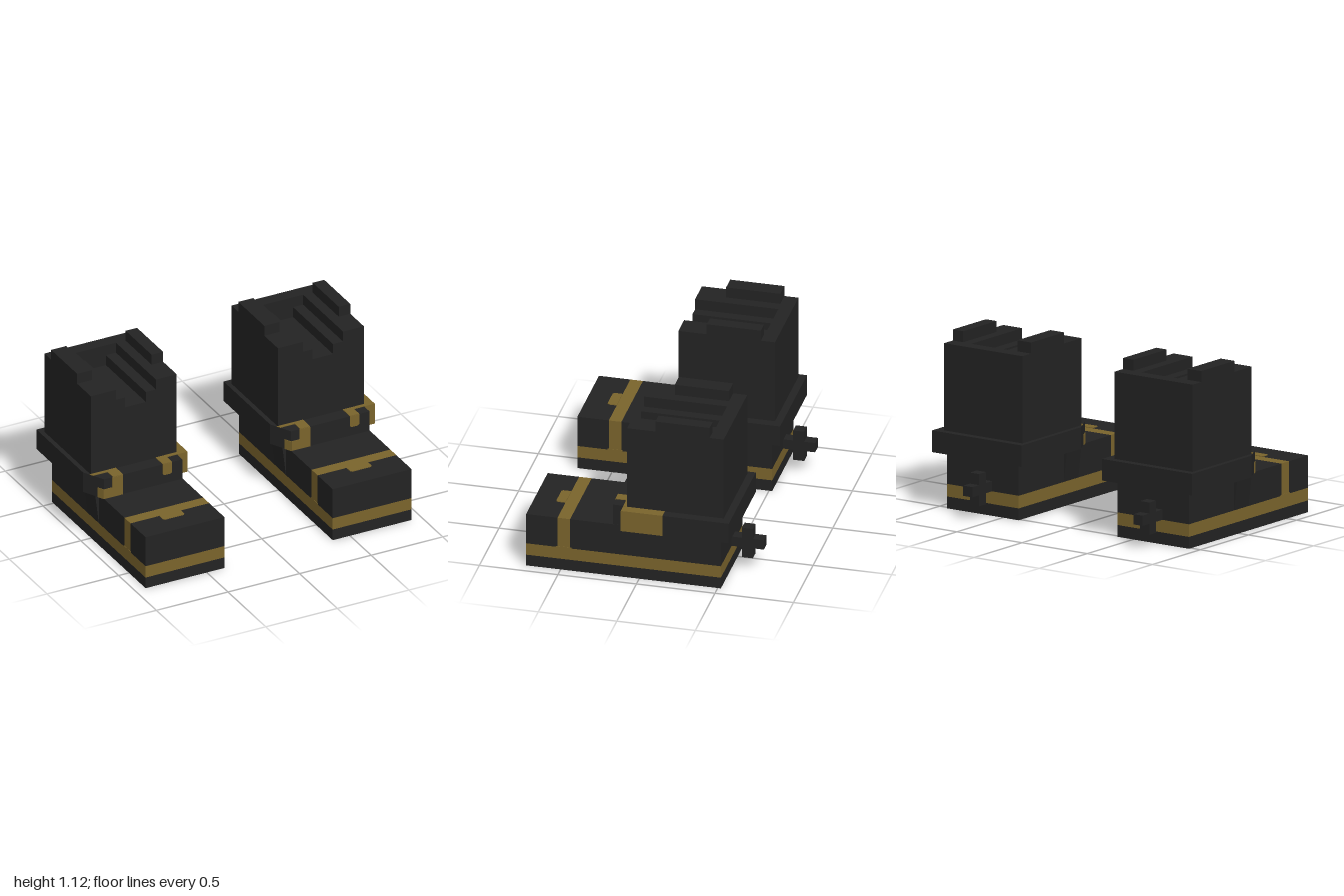
import * as THREE from 'three';

const dark = new THREE.MeshStandardMaterial({ color: 0x232323 });
dark.name = 'charcoal';
const gold = new THREE.MeshStandardMaterial({ color: 0x7a642c });
gold.name = 'old gold';

// Box given by its limits on each axis
function box(name, mat, [x0, x1], [y0, y1], [z0, z1]) {
  const m = new THREE.Mesh(new THREE.BoxGeometry(x1 - x0, y1 - y0, z1 - z0), mat);
  m.position.set((x0 + x1) / 2, (y0 + y1) / 2, (z0 + z1) / 2);
  m.name = name;
  return m;
}

// Upright prism from a plan outline of [x, z] points, with an optional hole
function plan(name, mat, pts, y0, y1, hole) {
  const v = list => list.map(([x, z]) => new THREE.Vector2(x, -z));
  const shape = new THREE.Shape(v(pts));
  if (hole) shape.holes.push(new THREE.Path(v(hole)));
  const g = new THREE.ExtrudeGeometry(shape, { depth: y1 - y0, bevelEnabled: false });
  g.rotateX(-Math.PI / 2).translate(0, y0, 0);
  const m = new THREE.Mesh(g, mat);
  m.name = name;
  return m;
}

// Prism from a front outline of [x, y] points
function profile(name, mat, pts, z0, z1) {
  const shape = new THREE.Shape(pts.map(p => new THREE.Vector2(...p)));
  const g = new THREE.ExtrudeGeometry(shape, { depth: z1 - z0, bevelEnabled: false });
  g.translate(0, 0, z0);
  const m = new THREE.Mesh(g, mat);
  m.name = name;
  return m;
}

const rect = (x0, x1, z0, z1) => [[x0, z0], [x1, z0], [x1, z1], [x0, z1]];

function createBoot() {
  const boot = new THREE.Group();
  const w = [-0.275, 0.275];
  const T = 0.004; // thickness of the inlay plates

  // Sole with a shallow recess underneath, and the welt band above it
  boot.add(plan('sole', dark, rect(-0.275, 0.275, -0.52, 0.72), 0, 0.04, rect(-0.16, 0.16, -0.3, 0.32)));
  boot.add(box('soleCore', dark, w, [0.04, 0.075], [-0.52, 0.72]));
  boot.add(box('weltBand', gold, w, [0.075, 0.155], [-0.52, 0.72]));

  // Foot: toe, strap and heel
  const footY = [0.155, 0.36];
  boot.add(box('toe', dark, w, footY, [0.52, 0.72]));
  boot.add(box('strap', gold, w, footY, [0.44, 0.52]));
  boot.add(box('heel', dark, w, footY, [-0.52, 0.44]));
  boot.add(plan('strapTab', gold,
    [[-0.075, 0.52], [0.075, 0.52], [0.075, 0.57], [0.065, 0.58], [-0.065, 0.58], [-0.075, 0.57]], 0.36, 0.36 + T));
  // Small gold fillets where the strap meets the welt
  for (const s of [-1, 1]) {
    const x = [s * 0.275, s * (0.275 + 0.002)].sort((a, b) => a - b);
    boot.add(box('strapFoot', gold, x, [0.155, 0.162], [0.432, 0.528]));
  }
  boot.add(profile('sideFlare', dark, [[-0.275, 0.155], [-0.275, 0.36], [-0.3, 0.36]], -0.05, 0.1));

  // Ankle collar with a chamfered corner
  boot.add(plan('ankleCollar', dark, [
    [-0.3475, -0.587], [0.3425, -0.587], [0.3425, 0.097], [0.2725, 0.097],
    [0.2725, 0.168], [-0.275, 0.168], [-0.3475, 0.03]], 0.36, 0.497));
  boot.add(box('sideBuckle', gold, [0.2725, 0.3455], [0.358, 0.499], [-0.165, 0.1]));

  // Gold inlays on the top and front of the collar
  boot.add(plan('collarInlay', gold, [
    [-0.325, 0.073], [-0.1425, 0.073], [-0.1425, 0.17], [-0.2125, 0.17],
    [-0.2125, 0.097], [-0.313, 0.097]], 0.497, 0.497 + T));
  boot.add(plan('collarInlay', gold, [
    [0.135, 0.073], [0.2825, 0.073], [0.2825, 0.1], [0.2, 0.1],
    [0.2, 0.17], [0.135, 0.17]], 0.497, 0.497 + T));
  boot.add(profile('frontInlay', gold, [
    [-0.275, 0.36], [-0.1425, 0.36], [-0.1425, 0.497], [-0.2175, 0.497],
    [-0.2175, 0.427], [-0.275, 0.427]], 0.168, 0.168 + T));
  boot.add(profile('frontInlay', gold, [
    [0.145, 0.42], [0.19, 0.42], [0.2, 0.43], [0.2, 0.497], [0.135, 0.497], [0.135, 0.43]], 0.168, 0.168 + T));
  boot.add(plan('chamferInlay', gold,
    [[-0.275, 0.168], [-0.297, 0.126], [-0.3, 0.128], [-0.278, 0.17]], 0.36, 0.427));

  // Shaft with a stepped channel that stops short of the back wall
  boot.add(profile('shaft', dark, [
    [-0.3175, 0.497], [0.2825, 0.497], [0.2825, 1.05], [0.1375, 1.05], [0.1375, 0.98],
    [0.0675, 0.98], [0.0675, 0.91], [-0.0775, 0.91], [-0.0775, 0.98],
    [-0.1425, 0.98], [-0.1425, 1.05], [-0.3175, 1.05]], -0.455, 0.075));
  boot.add(box('shaftBack', dark, [-0.3175, 0.2825], [0.497, 1.05], [-0.54, -0.455]));
  for (const x of [[-0.3175, -0.2125], [0.2025, 0.2825]]) {
    boot.add(box('topRail', dark, x, [1.05, 1.12], [-0.45, -0.105]));
  }

  // Spur: shank and crossbar
  boot.add(box('spurShank', dark, [-0.07, 0], [0.155, 0.22], [-0.725, -0.52]));
  for (const y of [[0.22, 0.29], [0.085, 0.155]]) {
    boot.add(box('spurPoint', dark, [-0.07, 0], y, [-0.655, -0.585]));
  }
  return boot;
}

export function createModel() {
  const model = new THREE.Group();
  model.name = 'boots';
  for (const [name, x] of [['rightBoot', -0.6525], ['leftBoot', 0.6545]]) {
    const boot = createBoot();
    boot.name = name;
    boot.position.x = x;
    model.add(boot);
  }
  return model;
}
